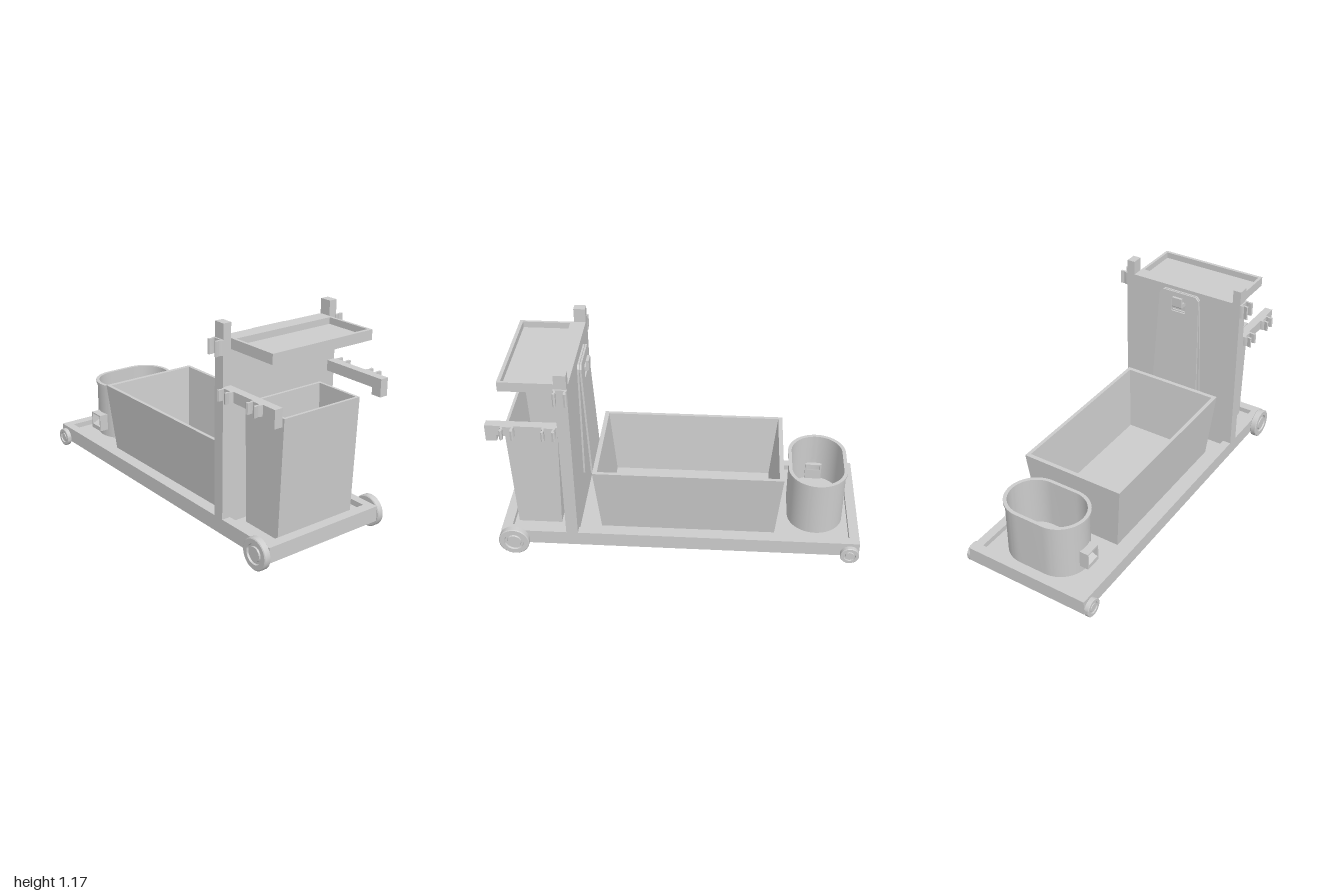
import * as THREE from 'three';
import { toCreasedNormals } from 'three/addons/utils/BufferGeometryUtils.js';

const grey = new THREE.MeshStandardMaterial({ color: 0xcccccc });

function add(parent, name, geometry) {
  const mesh = new THREE.Mesh(geometry, grey);
  mesh.name = name;
  parent.add(mesh);
  return mesh;
}

// Box given by its min and max on each axis
function box(parent, name, x0, x1, y0, y1, z0, z1) {
  const g = new THREE.BoxGeometry(x1 - x0, y1 - y0, z1 - z0);
  g.translate((x0 + x1) / 2, (y0 + y1) / 2, (z0 + z1) / 2);
  return add(parent, name, g);
}

// Open rectangular container; each ring is [x0, x1, halfDepth, y], outer bottom to inner bottom
function tub(parent, name, rings) {
  const pos = rings.flatMap(([x0, x1, z, y]) => [x0, y, z, x1, y, z, x1, y, -z, x0, y, -z]);
  const index = [0, 2, 1, 0, 3, 2];
  for (let r = 0; r < rings.length - 1; r++) {
    for (let i = 0; i < 4; i++) {
      const a = r * 4 + i, b = r * 4 + (i + 1) % 4;
      index.push(a, b, b + 4, a, b + 4, a + 4);
    }
  }
  const f = (rings.length - 1) * 4;
  index.push(f, f + 1, f + 2, f, f + 2, f + 3);
  const g = new THREE.BufferGeometry();
  g.setAttribute('position', new THREE.Float32BufferAttribute(pos, 3));
  g.setIndex(index);
  const flat = g.toNonIndexed();
  flat.computeVertexNormals();
  return add(parent, name, flat);
}

// Outline with two straight sides and round ends along z
function stadium(r, straight, PathType = THREE.Shape) {
  const s = new PathType();
  s.absarc(0, straight, r, 0, Math.PI);
  s.absarc(0, -straight, r, Math.PI, Math.PI * 2);
  s.closePath();
  return s;
}

// Extrude a plan outline upwards from y0 to y1
function rise(shape, y0, y1) {
  const g = new THREE.ExtrudeGeometry(shape, { depth: y1 - y0, bevelEnabled: false, curveSegments: 24 });
  g.rotateX(-Math.PI / 2).translate(0, y0, 0);
  return toCreasedNormals(g, 0.6);
}

function polygon(points) {
  return new THREE.Shape(points.map(([x, y]) => new THREE.Vector2(x, y)));
}

// Wheel with a raised tyre, a recessed ring and a hub, facing +z or -z
function wheel(parent, name, x, r, width, side) {
  const profile = [
    [0, 0], [0.94, 0], [1, 0.1], [1, 0.9], [0.94, 1], [0.64, 1],
    [0.6, 0.75], [0.48, 0.75], [0.44, 0.95], [0, 0.95],
  ].map(([a, b]) => new THREE.Vector2(a * r, b * width));
  const g = toCreasedNormals(new THREE.LatheGeometry(profile, 40), 0.5);
  const mesh = add(parent, name, g);
  mesh.rotation.x = side * Math.PI / 2;
  mesh.position.set(x, r, side * 0.365);
}

// Two-pronged tool clip pointing outwards
function clip(parent, x, y0, y1, side) {
  const half = [[0.036, 0], [0.036, 0.016], [0.03, 0.026], [0.036, 0.046], [0.03, 0.05],
    [0.02, 0.046], [0.02, 0.026], [0.025, 0.012]];
  const shape = polygon([...half, ...half.map(([a, b]) => [-a, b]).reverse()]);
  const mesh = add(parent, 'toolClip', rise(shape, y0, y1));
  mesh.rotation.y = side > 0 ? Math.PI : 0;
  mesh.position.set(x, 0, side * 0.364);
}

// Sign board with a grip hole, standing in the z-y plane
function signBoard(parent, name, xBottom, xTop, height) {
  const s = polygon([[-0.15, 0], [0.15, 0], [0.125, height - 0.02], [0.105, height],
    [-0.105, height], [-0.125, height - 0.02]]);
  const h = height - 0.12;
  s.holes.push(polygon([[-0.045, h], [-0.045, h + 0.07], [0.045, h + 0.07], [0.045, h]]));
  const g = new THREE.ExtrudeGeometry(s, { depth: 0.01, bevelEnabled: false });
  g.rotateY(Math.PI / 2);
  const mesh = add(parent, name, g);
  mesh.position.set(xBottom, 0.395, 0);
  mesh.rotation.z = -Math.atan2(xTop - xBottom, height);
}

export function createModel() {
  const cart = new THREE.Group();
  cart.name = 'janitorCart';

  // Platform with a raised rim
  const base = new THREE.Group();
  base.name = 'platform';
  cart.add(base);
  tub(base, 'deck', [
    [-1, 0.985, 0.367, 0.055], [-1, 0.985, 0.367, 0.14],
    [-0.945, 0.93, 0.318, 0.14], [-0.945, 0.93, 0.318, 0.11],
  ]);

  // Upright wall
  box(cart, 'uprightWall', 0.555, 0.62, 0.11, 1.087, -0.367, 0.367);

  // Shallow shelf on top
  tub(cart, 'topShelf', [
    [0.615, 0.922, 0.32, 1.033], [0.615, 0.922, 0.32, 1.087],
    [0.64, 0.903, 0.304, 1.087], [0.64, 0.903, 0.304, 1.052],
  ]);

  // Wheels, corner posts, side arms and clips on both sides
  for (const side of [1, -1]) {
    wheel(cart, 'smallWheel', -0.948, 0.052, 0.027, side);
    cart.children.at(-1).position.y = 0.072;
    wheel(cart, 'largeWheel', 0.912, 0.085, 0.038, side);
    const [z0, z1] = side > 0 ? [0.32, 0.367] : [-0.367, -0.32];
    box(cart, 'cornerPost', 0.555, 0.62, 1.08, 1.167, z0, z1);
    box(cart, 'sideArm', 0.615, 0.945, 0.793, 0.85, z0, z1);
    box(cart, 'armEnd', 0.942, 1, 0.755, 0.85, z0, z1);
    clip(cart, 0.588, 1.01, 1.087, side);
    clip(cart, 0.664, 0.793, 0.85, side);
    clip(cart, 0.88, 0.793, 0.85, side);
  }

  // Large storage tub
  tub(cart, 'storageTub', [
    [-0.533, 0.435, 0.262, 0.11], [-0.567, 0.467, 0.3, 0.505],
    [-0.543, 0.443, 0.28, 0.505], [-0.505, 0.405, 0.25, 0.13],
  ]);

  // Tall waste bin
  tub(cart, 'wasteBin', [
    [0.665, 0.907, 0.247, 0.11], [0.645, 0.932, 0.247, 0.755],
    [0.66, 0.917, 0.232, 0.755], [0.68, 0.892, 0.232, 0.13],
  ]);

  // Oval mop bucket with a flange and a spout
  const bucket = new THREE.Group();
  bucket.name = 'mopBucket';
  bucket.position.set(-0.762, 0, -0.016);
  cart.add(bucket);
  const wall = stadium(0.155, 0.08);
  wall.holes.push(stadium(0.143, 0.08, THREE.Path));
  add(bucket, 'bucketWall', rise(wall, 0.11, 0.432));
  add(bucket, 'bucketFloor', rise(stadium(0.15, 0.08), 0.11, 0.15));
  const flange = stadium(0.163, 0.08);
  flange.holes.push(stadium(0.143, 0.08, THREE.Path));
  add(bucket, 'bucketRim', rise(flange, 0.43, 0.442));
  const spout = new THREE.Group();
  spout.name = 'spout';
  bucket.add(spout);
  for (const x of [-0.047, 0.039]) box(spout, 'spoutSide', x, x + 0.008, 0.155, 0.255, 0.2, 0.28);
  box(spout, 'spoutTop', -0.047, 0.047, 0.247, 0.255, 0.2, 0.28);
  const ramp = new THREE.ExtrudeGeometry(polygon([[-0.2, 0.155], [-0.2, 0.215], [-0.28, 0.18], [-0.28, 0.155]]),
    { depth: 0.094, bevelEnabled: false });
  ramp.rotateY(Math.PI / 2).translate(-0.047, 0, 0);
  add(spout, 'spoutRamp', ramp);

  // Folded floor sign hanging from a hook on the wall
  const sign = new THREE.Group();
  sign.name = 'floorSign';
  cart.add(sign);
  signBoard(sign, 'frontBoard', 0.488, 0.518, 0.68);
  signBoard(sign, 'backBoard', 0.53, 0.53, 0.68);
  const hook = new THREE.ExtrudeGeometry(
    polygon([[0.558, 0.99], [0.558, 1.015], [0.508, 1.015], [0.508, 1.052], [0.492, 1.052], [0.492, 0.998], [0.5, 0.99]]),
    { depth: 0.06, bevelEnabled: false });
  hook.translate(0, 0, -0.03);
  add(cart, 'signHook', hook);

  return cart;
}
